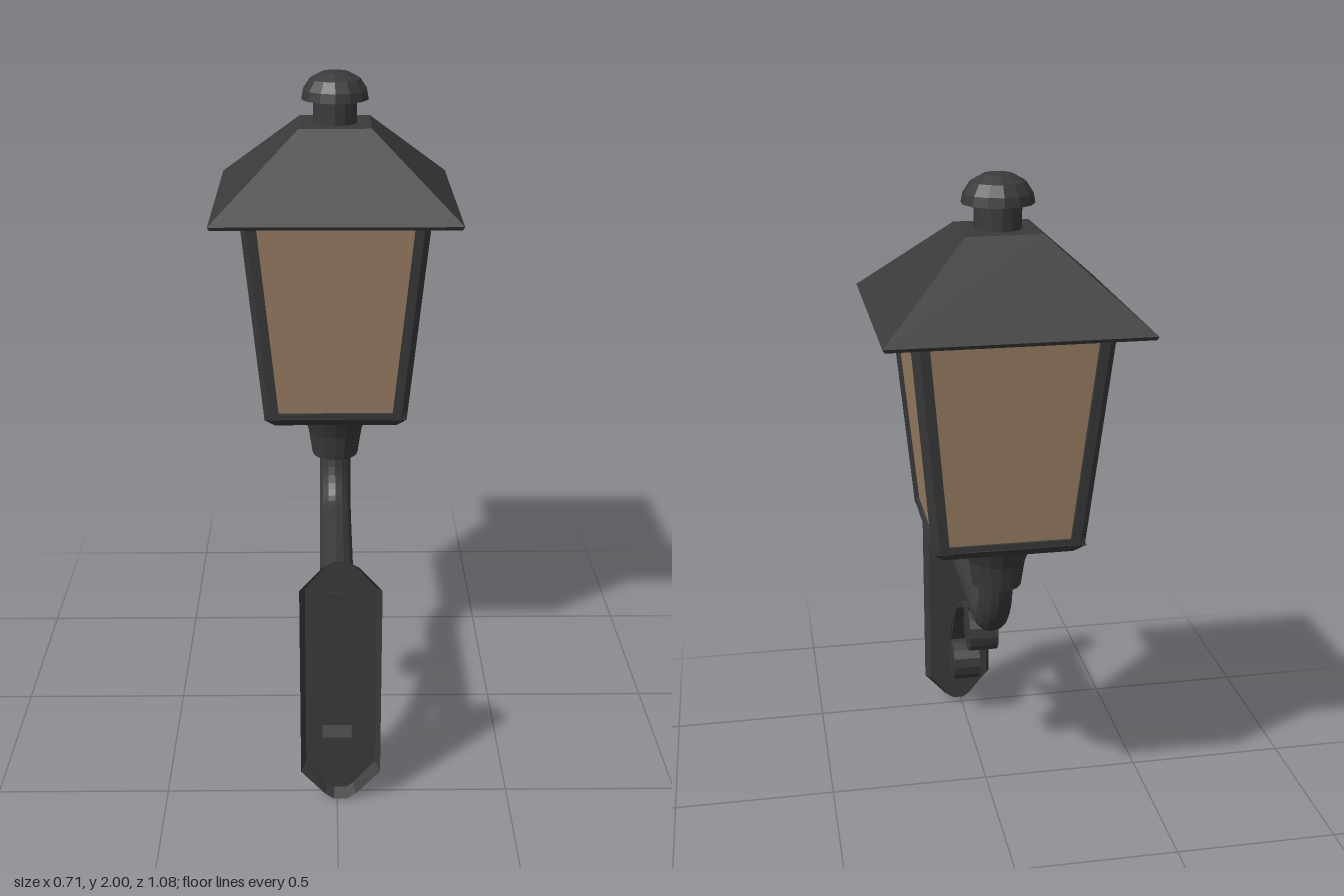
import * as THREE from 'three';

const iron = new THREE.MeshStandardMaterial({ color: 0x3a3a3a, flatShading: true, side: THREE.DoubleSide });
iron.name = 'dark iron';
const glass = new THREE.MeshStandardMaterial({ color: 0x9a8065, flatShading: true, side: THREE.DoubleSide });
glass.name = 'amber glass';

const LZ = -0.185; // depth of the lantern axis

function add(parent, name, geometry, material = iron) {
  const mesh = new THREE.Mesh(geometry, material);
  mesh.name = name;
  parent.add(mesh);
  return mesh;
}

// Square tapered block given half-widths at two heights
function frustum(h0, y0, h1, y1) {
  const g = new THREE.CylinderGeometry(h1 * Math.SQRT2, h0 * Math.SQRT2, y1 - y0, 4);
  return g.rotateY(Math.PI / 4).translate(0, (y0 + y1) / 2, 0);
}

// Skin between two matching loops of points, with optional caps
function loft(a, b, capA, capB) {
  const n = a.length, pos = [...a, ...b].flat(), index = [];
  for (let i = 0; i < n; i++) {
    const j = (i + 1) % n;
    index.push(i, j, n + j, i, n + j, n + i);
  }
  for (let i = 1; i < n - 1; i++) {
    if (capA) index.push(0, i + 1, i);
    if (capB) index.push(n, n + i, n + i + 1);
  }
  const g = new THREE.BufferGeometry();
  g.setAttribute('position', new THREE.Float32BufferAttribute(pos, 3));
  g.setIndex(index);
  g.computeVertexNormals();
  return g;
}

const lathe = (pts, sides) => new THREE.LatheGeometry(pts.map(p => new THREE.Vector2(...p)), sides);

function makeLantern() {
  const lantern = new THREE.Group();
  lantern.name = 'lantern';
  lantern.position.z = LZ;
  const yB = 1.0, yT = 1.62, hB = 0.215, hT = 0.272;

  // Roof, chimney and cap
  add(lantern, 'roofRim', frustum(0.35, 1.618, 0.355, 1.628));
  add(lantern, 'roof', frustum(0.355, 1.628, 0.105, 1.85));
  add(lantern, 'chimney', new THREE.CylinderGeometry(0.065, 0.065, 0.08, 14).translate(0, 1.885, 0));
  add(lantern, 'cap', lathe([[0, 1.918], [0.1, 1.918], [0.095, 1.945], [0.075, 1.975], [0.04, 1.994], [0, 2]], 14));

  // Base tray and top frame
  add(lantern, 'baseBevel', frustum(0.185, 0.968, hB, 0.998));
  add(lantern, 'baseFrame', frustum(hB - 0.004, 0.998, hB - 0.003, 1.015));
  add(lantern, 'topFrame', frustum(hT - 0.006, 1.606, hT - 0.005, yT));

  // Glass panes
  add(lantern, 'glass', frustum(hB - 0.012, yB, hT - 0.012, 1.61), glass);

  // Corner posts with a chamfered outer edge
  const section = (h, y) => [[h - 0.045, h], [h - 0.018, h], [h, h - 0.018], [h, h - 0.045], [h - 0.045, h - 0.045]]
    .map(([x, z]) => [x, y, z]);
  for (let i = 0; i < 4; i++) {
    const post = loft(section(hT, yT), section(hB, yB - 0.005), true, true);
    add(lantern, 'cornerPost', post.rotateY(i * Math.PI / 2));
  }

  // Socket below the lantern
  add(lantern, 'socket', lathe([[0, 0.8], [0.072, 0.8], [0.084, 0.88], [0.107, 0.94], [0.107, 0.97]], 16));
  return lantern;
}

function makeBracket() {
  const bracket = new THREE.Group();
  bracket.name = 'bracket';

  // Wall plate, a shallow tray open to the wall
  const half = [[0.115, 0.1], [0.115, 0.7], [0.05, 0.772], [0.02, 0.79]];
  const outline = [...half, ...half.map(([x, y]) => [-x, y]).reverse()];
  outline.push([-0.045, 0.022], [-0.02, 0.004], [0.02, 0.004], [0.045, 0.022]);
  const ring = (s, t, z) => outline.map(([x, y]) => [0.01 + x * s, 0.397 + (y - 0.397) * t, z]);
  add(bracket, 'wallPlate', loft(ring(0.87, 0.96, 0.505), ring(1, 1, 0.54), true, false));

  // Arm with a rounded elbow
  const arm = new THREE.CurvePath();
  const p = (z, y) => new THREE.Vector3(0, y, z);
  arm.add(new THREE.LineCurve3(p(0.5, 0.628), p(-0.02, 0.628)));
  arm.add(new THREE.CubicBezierCurve3(p(-0.02, 0.628), p(-0.11, 0.628), p(-0.165, 0.69), p(-0.18, 0.82)));
  add(bracket, 'arm', new THREE.TubeGeometry(arm, 26, 0.05, 14));
  add(bracket, 'armEnd', new THREE.CylinderGeometry(0.05, 0.05, 0.03, 14).rotateX(Math.PI / 2).translate(0, 0.628, 0.495));

  // Curved brace, a flat strip swept along an arc
  const path = [[0.508, 0.21], [0.485, 0.26], [0.43, 0.365], [0.345, 0.458], [0.235, 0.527], [0.09, 0.572]];
  const strip = new THREE.Shape();
  const side = d => path.map(([z, y], i) => {
    const a = path[Math.max(i - 1, 0)], b = path[Math.min(i + 1, path.length - 1)];
    const dz = b[0] - a[0], dy = b[1] - a[1], l = Math.hypot(dz, dy);
    return new THREE.Vector2(-(z - dy / l * d), y + dz / l * -d);
  });
  strip.setFromPoints([...side(0.013), ...side(-0.013).reverse()]);
  const brace = new THREE.ExtrudeGeometry(strip, { depth: 0.085, bevelEnabled: false });
  add(bracket, 'brace', brace.translate(0, 0, -0.0425).rotateY(Math.PI / 2));

  // Scroll rolls at both ends of the brace
  for (const [z, y] of [[0.09, 0.507], [0.43, 0.217]]) {
    const roll = new THREE.CylinderGeometry(0.07, 0.07, 0.09, 14).rotateZ(Math.PI / 2);
    add(bracket, 'scroll', roll.translate(0, y, z));
  }
  return bracket;
}

export function createModel() {
  const model = new THREE.Group();
  model.name = 'wallLantern';
  model.add(makeLantern(), makeBracket());
  return model;
}
